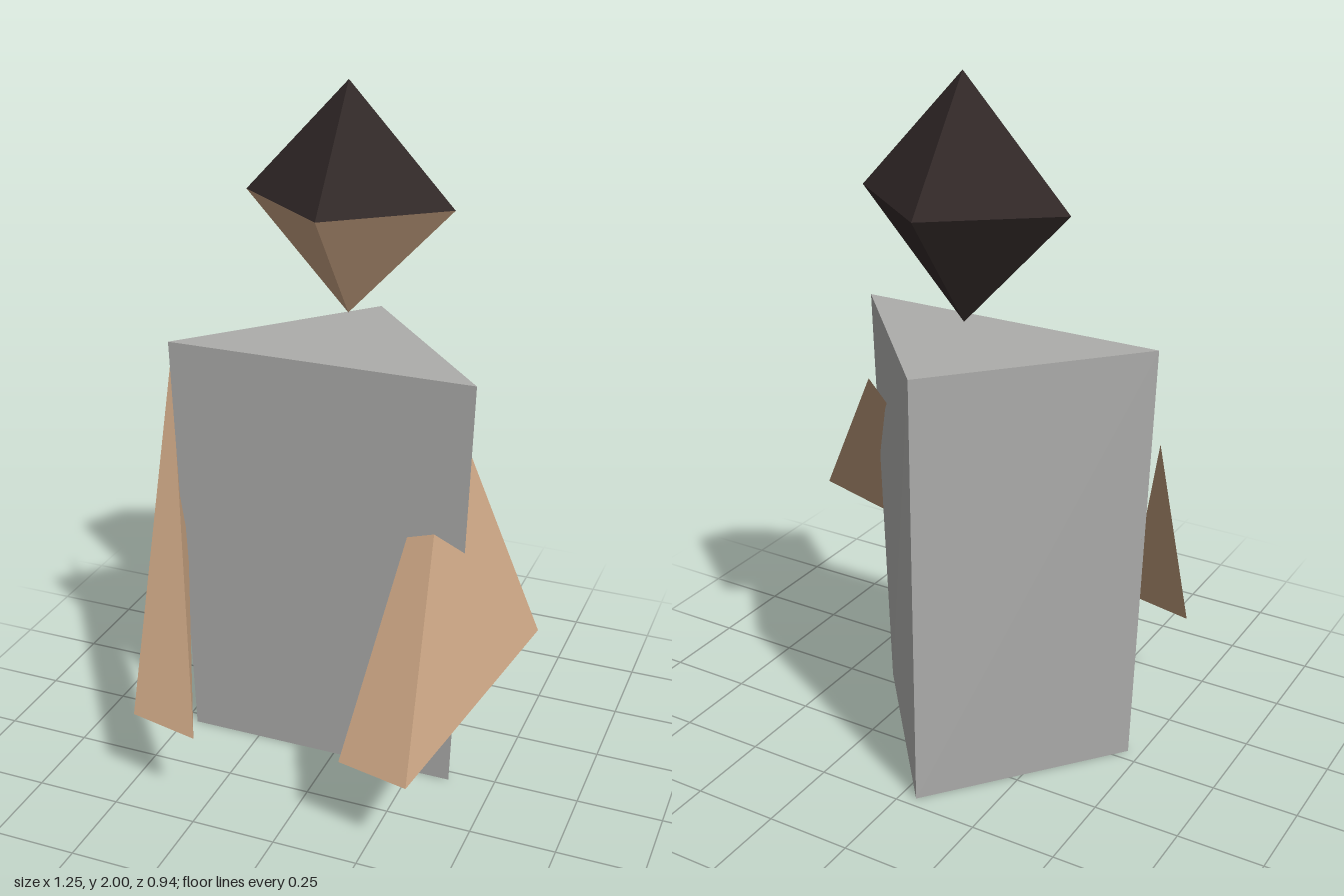
import * as THREE from 'three';

const grey = new THREE.MeshStandardMaterial({ color: 0xacacaa, flatShading: true });
grey.name = 'bodyGrey';
const skin = new THREE.MeshStandardMaterial({ color: 0xc19d7d, flatShading: true, side: THREE.DoubleSide });
skin.name = 'skinTan';
const dark = new THREE.MeshStandardMaterial({ color: 0x322928, flatShading: true });
dark.name = 'hairDark';

const CENTRE_X = -0.047;

// Triangular prism, widening upwards along x only, with its ridge at the back
function makeBody() {
  const geo = new THREE.CylinderGeometry(1, 1, 1.27, 3, 1, false, Math.PI).toNonIndexed();
  const p = geo.attributes.position;
  for (let i = 0; i < p.count; i++) {
    const half = p.getY(i) > 0 ? 0.457 : 0.415;
    const side = p.getX(i) / Math.sin(Math.PI / 3);
    p.setXYZ(i, CENTRE_X + side * half, p.getY(i) + 0.635, p.getZ(i) * 0.34 - 0.13);
  }
  geo.computeVertexNormals();
  const mesh = new THREE.Mesh(geo, grey);
  mesh.name = 'body';
  return mesh;
}

// Octahedral head: the two lower front faces are the bare face, the rest is hair
function makeHead() {
  const geo = new THREE.OctahedronGeometry(1, 0);
  const p = geo.attributes.position;
  geo.clearGroups();
  for (let i = 0; i < p.count; i += 3) {
    const y = p.getY(i) + p.getY(i + 1) + p.getY(i + 2);
    const z = p.getZ(i) + p.getZ(i + 1) + p.getZ(i + 2);
    geo.addGroup(i, 3, y < 0 && z > 0 ? 1 : 0);
  }
  geo.scale(0.31, 0.33, 0.245);
  geo.computeVertexNormals();
  const mesh = new THREE.Mesh(geo, [dark, skin]);
  mesh.position.set(CENTRE_X, 1.67, -0.195);
  mesh.name = 'head';
  return mesh;
}

// Arm: a thin sheet of two triangles folded from shoulder to hand
function makeArm(name, shoulder, handInner, handOuter, elbow) {
  const geo = new THREE.BufferGeometry().setFromPoints(
    [shoulder, handInner, handOuter, shoulder, handOuter, elbow].map((v) => new THREE.Vector3(...v)));
  geo.computeVertexNormals();
  const mesh = new THREE.Mesh(geo, skin);
  mesh.name = name;
  return mesh;
}

export function createModel() {
  const group = new THREE.Group();
  group.name = 'figure';
  group.add(
    makeBody(),
    makeHead(),
    makeArm('leftArm', [0.26, 1.12, -0.2], [0.165, 0.26, 0.417], [0.378, 0.26, 0.465], [0.625, 0.6, 0.09]),
    makeArm('rightArm', [-0.625, 1.12, -0.2], [-0.47, 0.26, 0.417], [-0.255, 0.26, 0.465], [-0.442, 0.6, 0.09]),
  );
  return group;
}
